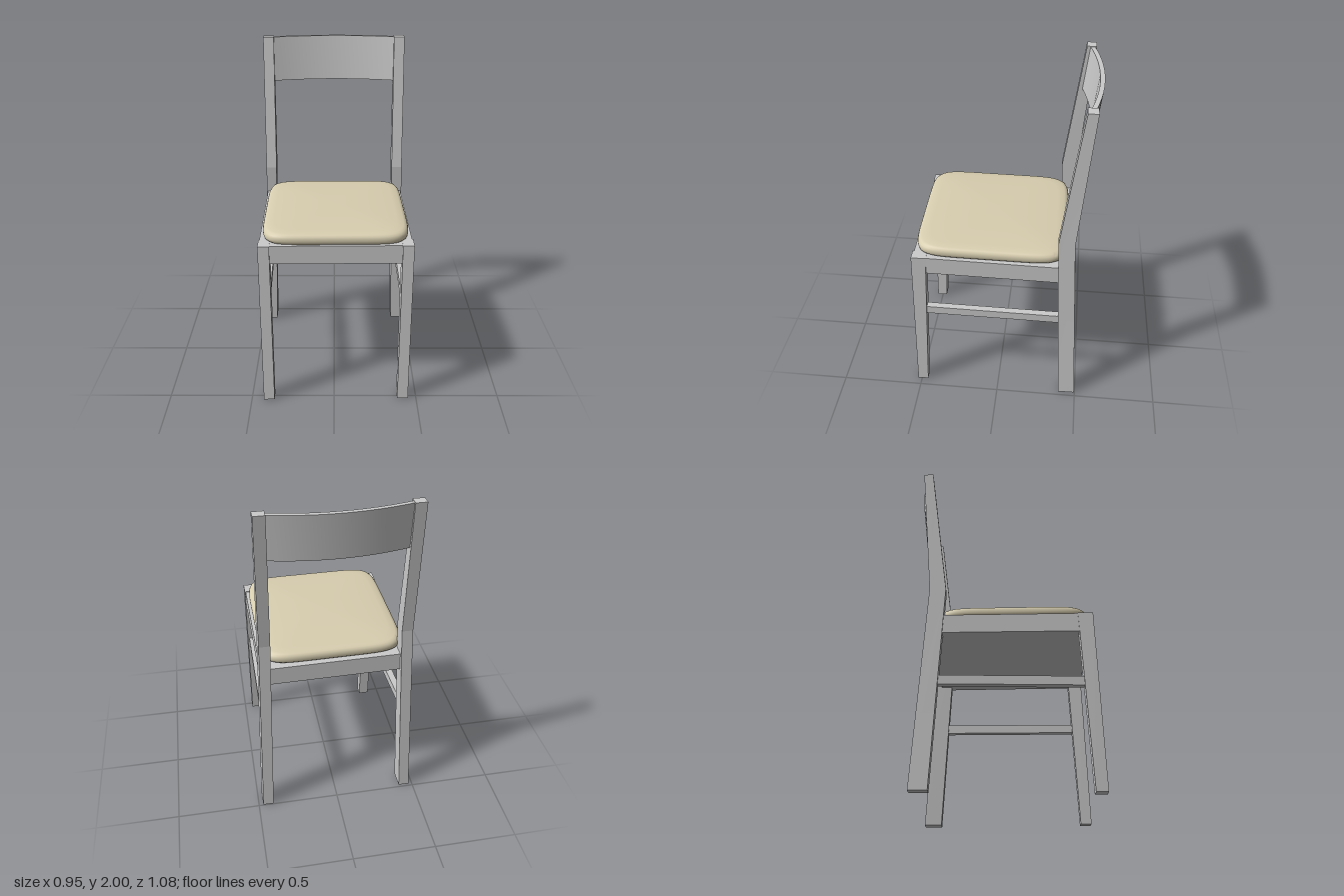
import * as THREE from 'three';
import { toCreasedNormals } from 'three/addons/utils/BufferGeometryUtils.js';

const grey = new THREE.MeshStandardMaterial({ color: 0xcccccc });
const fabric = new THREE.MeshStandardMaterial({ color: 0xd8ceb0 });

// Skin a series of equal-length rings, closing both ends.
function loft(rings, crease) {
  const n = rings[0].length;
  const index = [];
  for (let r = 0; r < rings.length - 1; r++) {
    for (let i = 0; i < n; i++) {
      const j = (i + 1) % n;
      const a = r * n + i, b = r * n + j, c = b + n, d = a + n;
      index.push(a, b, c, a, c, d);
    }
  }
  const last = (rings.length - 1) * n;
  for (let i = 1; i < n - 1; i++) {
    index.push(0, i + 1, i, last, last + i, last + i + 1);
  }
  const geo = new THREE.BufferGeometry();
  geo.setAttribute('position', new THREE.Float32BufferAttribute(rings.flat(2), 3));
  geo.setIndex(index);
  return toCreasedNormals(geo, crease);
}

// Horizontal rectangle of a leg at height y.
function legRing(y, x, zBack, zFront, w = 0.0325) {
  return [[x - w, y, zFront], [x + w, y, zFront], [x + w, y, zBack], [x - w, y, zBack]];
}

export function createModel() {
  const chair = new THREE.Group();
  chair.name = 'chair';
  const add = (name, rings, material = grey, crease = 0.05) => {
    const mesh = new THREE.Mesh(loft(rings, crease), material);
    mesh.name = name;
    chair.add(mesh);
  };

  for (const s of [1, -1]) {
    const side = s > 0 ? 'left' : 'right';

    // Tapered front legs
    add(side + 'FrontLeg', [
      legRing(0, s * 0.406, 0.466, 0.531),
      legRing(1.027, s * 0.406, 0.417, 0.503),
    ]);

    // Back legs bend at the seat and carry on as the back posts
    add(side + 'BackLeg', [
      legRing(0, s * 0.443, -0.49, -0.388),
      legRing(1.18, s * 0.408, -0.431, -0.337),
      legRing(2, s * 0.406, -0.5, -0.444),
    ]);

    // Side stretchers, running slightly outward to the back
    const bar = (y) => [
      [s * 0.408 - 0.02, y, 0.46], [s * 0.408 + 0.02, y, 0.46],
      [s * 0.425 + 0.02, y, -0.38], [s * 0.425 - 0.02, y, -0.38],
    ];
    add(side + 'Stretcher', [bar(0.588), bar(0.64)]);
  }

  // Seat frame, sloping gently down to the back
  const frame = (yFront, yBack) => [
    [-0.433, yFront, 0.495], [0.433, yFront, 0.495],
    [0.438, yBack, -0.415], [-0.438, yBack, -0.415],
  ];
  add('seatFrame', [frame(0.914, 0.9), frame(1.026, 1.01)]);

  // Padded cushion: rounded-square loops of [scale, height]
  const pad = [
    [0.975, 0], [0.995, 0.01], [1, 0.022], [1, 0.036], [0.99, 0.048], [0.97, 0.057],
    [0.94, 0.062], [0.85, 0.066], [0.65, 0.071], [0.4, 0.075], [0.15, 0.077], [0.01, 0.077],
  ];
  const round = (v) => Math.sign(v) * Math.abs(v) ** (2 / 7);
  add('cushion', pad.map(([k, h]) => Array.from({ length: 96 }, (_, i) => {
    // Spread the points evenly round a square before rounding it
    const q = Math.floor(i / 24) * Math.PI / 2 + Math.PI / 4;
    const t = (i % 24) / 12 - 1;
    const a = q + Math.PI / 4 + Math.sign(t) * (1 - (1 - Math.abs(t)) ** 2) ** 1.5 * Math.PI / 4;
    const x = 0.42 * k * round(Math.cos(a));
    const z = 0.05 - 0.44 * k * round(Math.sin(a));
    return [x, 1.018 + 0.0175 * z + h, z];
  })), fabric, 0.9);

  // Curved top rail, leaning back with the posts
  const rail = [];
  for (let i = 0; i <= 12; i++) {
    const x = -0.39 + 0.78 * i / 12;
    const z = -0.538 + 0.052 * (x / 0.39) ** 2;
    const lean = 0.031, thick = 0.026;
    rail.push([
      [x, 1.73, z + lean + thick], [x, 1.73, z + lean],
      [x, 1.997, z], [x, 1.997, z + thick],
    ]);
  }
  add('topRail', rail, grey, 0.5);

  // The chair stands very slightly turned
  chair.rotation.y = 0.014;
  chair.position.x = 0.004;
  const model = new THREE.Group();
  model.name = 'diningChair';
  model.add(chair);
  return model;
}
